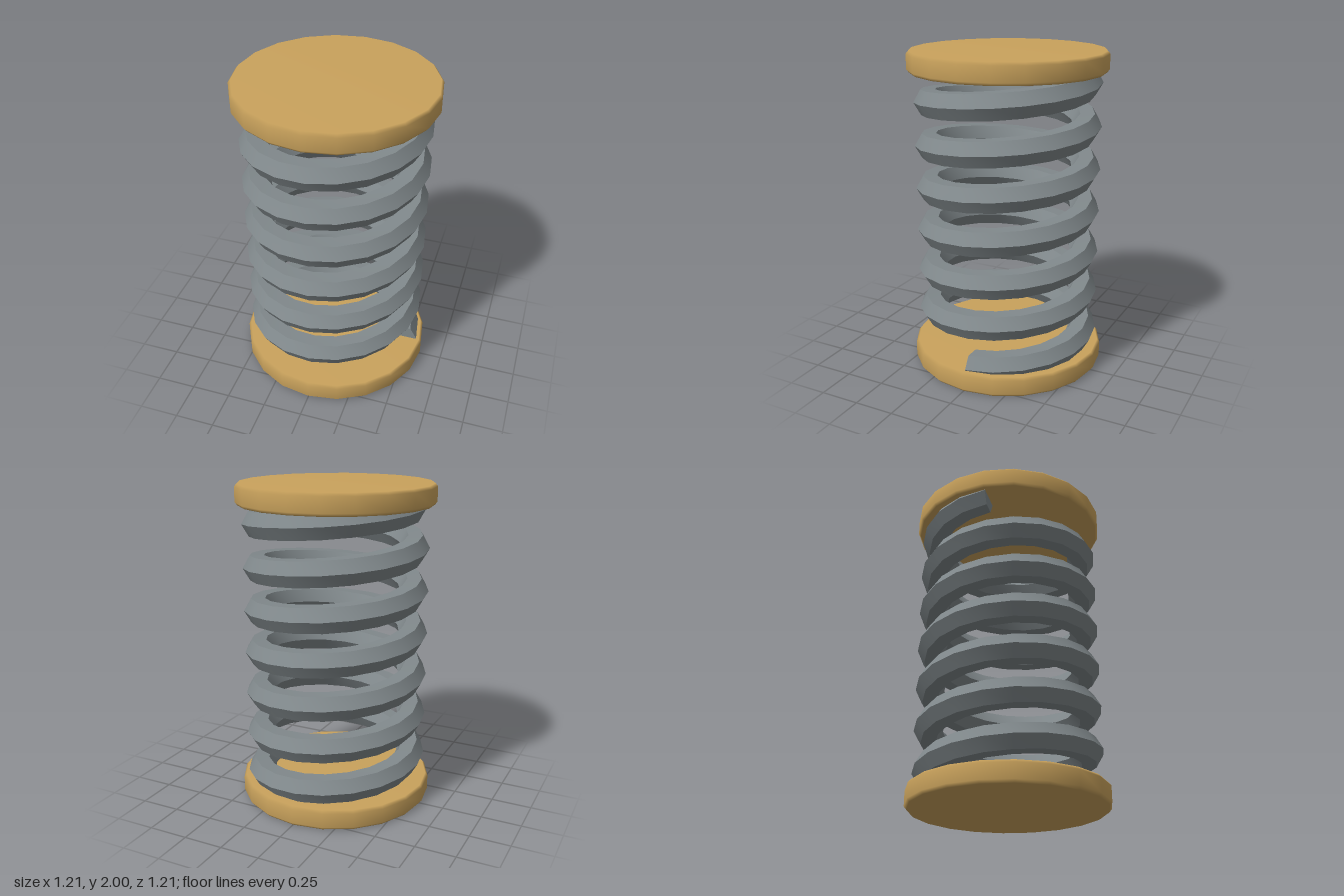
import * as THREE from 'three';

const brass = new THREE.MeshStandardMaterial({ color: 0xc9a25c });
brass.name = 'brass';
const steel = new THREE.MeshStandardMaterial({ color: 0x80888b });
steel.name = 'steel';

const PLATE_H = 0.127;
const COIL_R = 0.485, WIRE_R = 0.088, TURNS = 6.5, STEPS_PER_TURN = 20;
const COIL_Y0 = 0.133, COIL_Y1 = 1.867;

// Round end plate with a softened rim
function makePlate(name, y) {
  const profile = [
    [0, 0], [0.592, 0], [0.607, 0.018],
    [0.607, PLATE_H - 0.018], [0.592, PLATE_H], [0, PLATE_H],
  ].map(([r, h]) => new THREE.Vector2(r, h));
  const plate = new THREE.Mesh(new THREE.LatheGeometry(profile, 20), brass);
  plate.name = name;
  plate.position.y = y;
  return plate;
}

// Hexagonal wire swept along a helix: smooth along its length, sharp across its sides
function makeCoilGeometry() {
  const steps = TURNS * STEPS_PER_TURN;
  const positions = [], index = [];

  const addPoint = (step, corner) => {
    const t = (step / STEPS_PER_TURN) * Math.PI * 2;
    const a = (corner / 6) * Math.PI * 2;
    const r = COIL_R + WIRE_R * Math.cos(a);
    const y = COIL_Y0 + (COIL_Y1 - COIL_Y0) * (step / steps) + WIRE_R * Math.sin(a);
    return positions.push(r * Math.cos(t), y, -r * Math.sin(t)) / 3 - 1;
  };

  // Six long side strips, each with its own vertices
  for (let k = 0; k < 6; k++) {
    let a = addPoint(0, k), b = addPoint(0, k + 1);
    for (let i = 1; i <= steps; i++) {
      const c = addPoint(i, k), d = addPoint(i, k + 1);
      index.push(a, c, b, b, c, d);
      a = c;
      b = d;
    }
  }

  // Flat cut ends
  for (const step of [0, steps]) {
    const ring = [0, 1, 2, 3, 4, 5].map((k) => addPoint(step, k));
    if (step > 0) ring.reverse();
    for (let k = 1; k < 5; k++) index.push(ring[0], ring[k], ring[k + 1]);
  }

  const geometry = new THREE.BufferGeometry();
  geometry.setAttribute('position', new THREE.Float32BufferAttribute(positions, 3));
  geometry.setIndex(index);
  geometry.computeVertexNormals();
  return geometry;
}

export function createModel() {
  const model = new THREE.Group();
  model.name = 'coilSpring';
  const coil = new THREE.Mesh(makeCoilGeometry(), steel);
  coil.name = 'coil';
  model.add(makePlate('bottomPlate', 0), coil, makePlate('topPlate', 2 - PLATE_H));
  return model;
}
